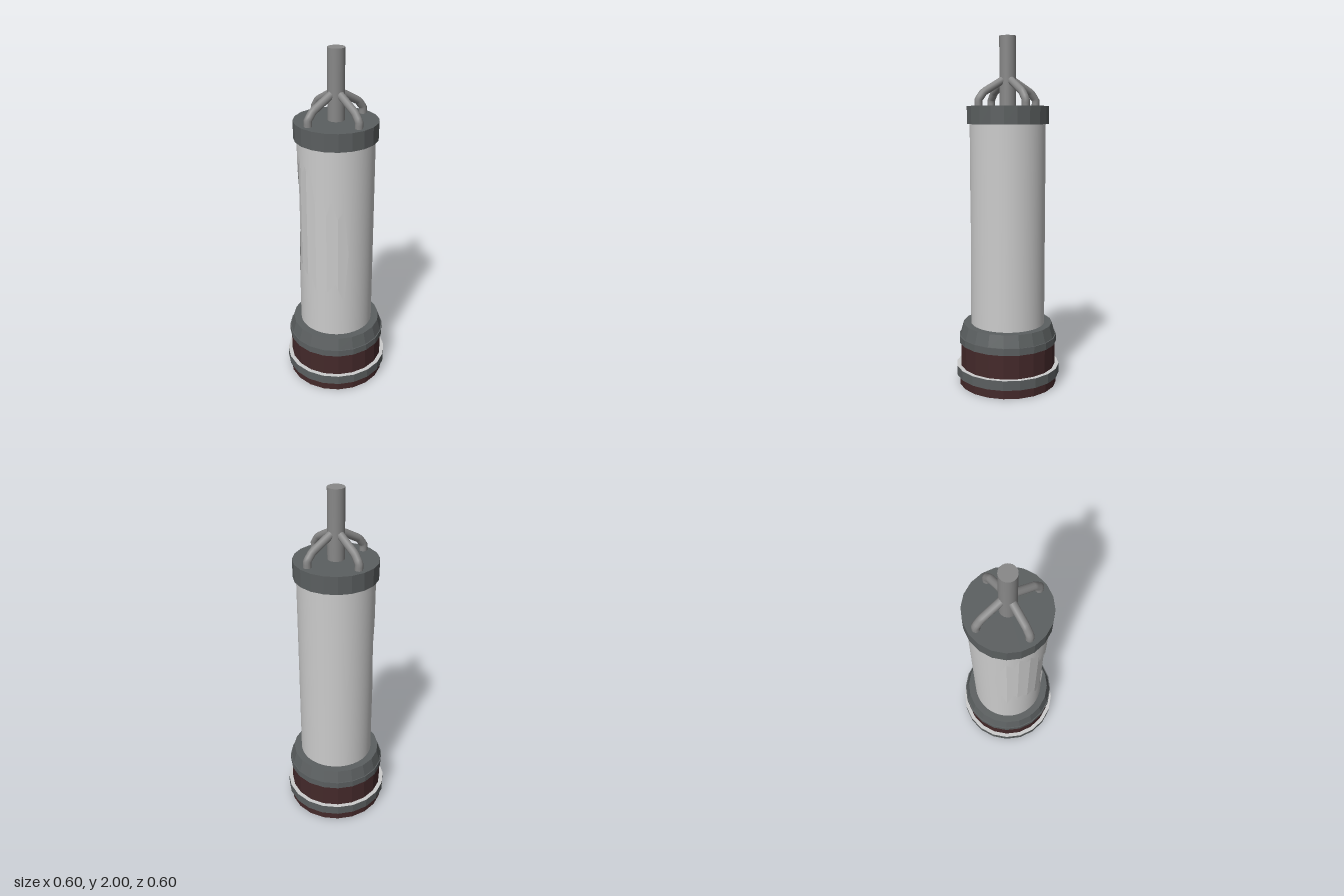
import * as THREE from 'three';

const SIDES = 20;
const paint = (color, flatShading = false, side = THREE.FrontSide) =>
  new THREE.MeshStandardMaterial({ color, flatShading, side });

const SHELL_R = 0.215, SHELL_Y0 = 0.35, SHELL_Y1 = 1.53;

// Jagged rims of the broken opening: [x seen from the front, y]
const upperRim = [
  [-0.177, 1.12], [-0.13, 1.38], [-0.09, 1.33], [-0.07, 1.44], [-0.02, 1.36], [0, 1.4], [0.02, 1.35], [0.043, 1.38],
  [0.07, 1.2], [0.1, 1.28], [0.13, 1.14], [0.148, 1.23], [0.172, 1.12], [0.193, 1.17], [0.202, 0.9],
];
const lowerRim = [
  [-0.177, 1.12], [-0.165, 0.93], [-0.125, 0.66], [-0.09, 0.83], [-0.07, 0.765], [-0.04, 0.78], [0, 0.73], [0.03, 0.76],
  [0.07, 0.64], [0.1, 0.7], [0.13, 0.65], [0.165, 0.71], [0.193, 0.58], [0.202, 0.9],
];

const toAngles = (rim) => rim.map(([x, y]) => [Math.asin(x / SHELL_R), y]);

function heightAt(rim, angle) {
  for (let i = 1; i < rim.length; i++) {
    const [a0, y0] = rim[i - 1], [a1, y1] = rim[i];
    if (angle <= a1) return y0 + ((y1 - y0) * (angle - a0)) / (a1 - a0);
  }
  return rim[rim.length - 1][1];
}

// Thin cylinder wall made of vertical strips, split above and below the opening
function brokenShell() {
  const up = toAngles(upperRim), low = toAngles(lowerRim);
  const first = up[0][0], last = up[up.length - 1][0];
  const angles = [...up, ...low].map((p) => p[0]);
  for (let i = 0; i <= 40; i++) angles.push(-Math.PI + (i * Math.PI) / 20);
  angles.sort((a, b) => a - b);

  const position = [], normal = [];
  const vertex = (a, y) => {
    position.push(SHELL_R * Math.sin(a), y, SHELL_R * Math.cos(a));
    normal.push(Math.sin(a), 0, Math.cos(a));
  };
  const quad = (a, b, a0, a1, b0, b1) => {
    vertex(a, a0); vertex(b, b0); vertex(b, b1);
    vertex(a, a0); vertex(b, b1); vertex(a, a1);
  };
  for (let i = 1; i < angles.length; i++) {
    const a = angles[i - 1], b = angles[i];
    if (b - a < 1e-6) continue;
    const mid = (a + b) / 2;
    if (mid < first || mid > last) quad(a, b, SHELL_Y0, SHELL_Y1, SHELL_Y0, SHELL_Y1);
    else {
      quad(a, b, SHELL_Y0, heightAt(low, a), SHELL_Y0, heightAt(low, b));
      quad(a, b, heightAt(up, a), SHELL_Y1, heightAt(up, b), SHELL_Y1);
    }
  }
  const geometry = new THREE.BufferGeometry();
  geometry.setAttribute('position', new THREE.Float32BufferAttribute(position, 3));
  geometry.setAttribute('normal', new THREE.Float32BufferAttribute(normal, 3));
  return geometry;
}

export function createModel() {
  const model = new THREE.Group();
  model.name = 'canister';

  const metal = paint(0x5b5f60, true);
  const brown = paint(0x44292a, true);
  const steel = paint(0x888888);
  const grey = paint(0xcccccc, false, THREE.DoubleSide);
  const greyFlat = paint(0xcccccc, true);

  const add = (name, geometry, material, parent = model) => {
    const mesh = new THREE.Mesh(geometry, material);
    mesh.name = name;
    parent.add(mesh);
    return mesh;
  };
  const drum = (name, y0, y1, r0, r1, material, sides = SIDES) => {
    const mesh = add(name, new THREE.CylinderGeometry(r1, r0, y1 - y0, sides), material);
    mesh.position.y = (y0 + y1) / 2;
    return mesh;
  };

  // Stepped base
  drum('foot', 0, 0.055, 0.287, 0.287, brown);
  drum('lowerBand', 0.055, 0.11, 0.302, 0.302, metal);
  drum('baseDrum', 0.11, 0.25, 0.278, 0.278, brown);
  drum('upperBand', 0.25, 0.29, 0.286, 0.286, metal);
  drum('collar', 0.29, 0.36, 0.28, 0.26, metal);

  // Pale ledge on top of the lower band
  const ledge = add('lowerBandLedge', new THREE.RingGeometry(0.27, 0.302, SIDES, 1), greyFlat);
  ledge.rotation.x = -Math.PI / 2;
  ledge.position.y = 0.111;

  // Body: inner cylinder seen through the broken outer shell
  drum('innerCylinder', 0.35, 1.53, 0.208, 0.208, greyFlat);
  add('brokenShell', brokenShell(), grey);

  // Cap and central rod
  drum('cap', 1.515, 1.615, 0.233, 0.233, metal);
  drum('rod', 1.6, 2, 0.047, 0.047, steel, 24);

  // Four bent braces from the cap to the rod
  const points = [[0.188, 1.6], [0.188, 1.648], [0.155, 1.69], [0.02, 1.765]]
    .map(([x, y]) => new THREE.Vector3(x, y, 0));
  const path = new THREE.CurvePath();
  for (let i = 1; i < points.length; i++) path.add(new THREE.LineCurve3(points[i - 1], points[i]));
  const braceGeometry = new THREE.TubeGeometry(path, 16, 0.022, 12);
  const braces = new THREE.Group();
  braces.name = 'braces';
  for (let i = 0; i < 4; i++) {
    add('brace', braceGeometry, steel, braces).rotation.y = (i * Math.PI) / 2;
  }
  model.add(braces);

  return model;
}
